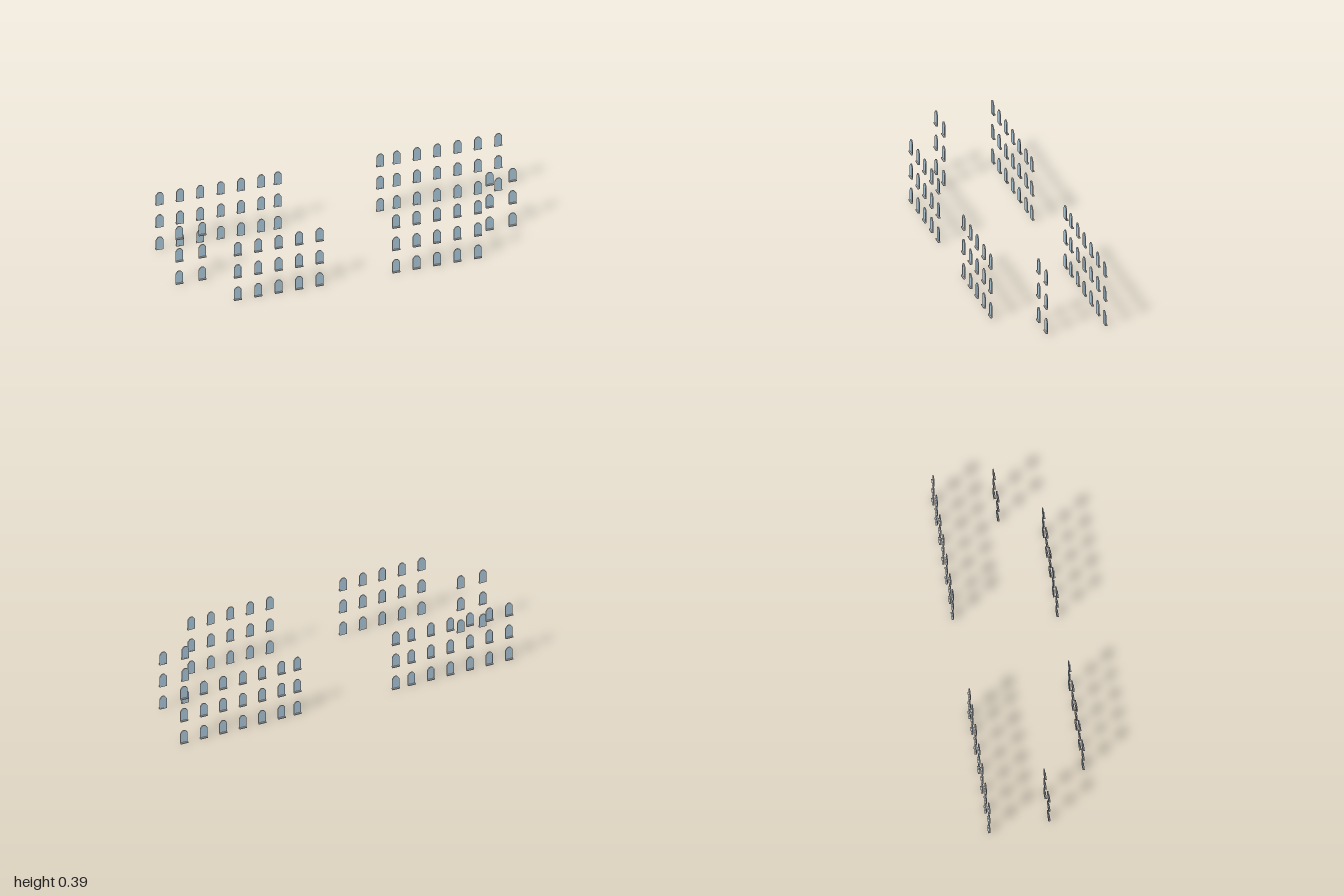
import * as THREE from 'three';

const HALF = 0.0215;   // half width of a window
const SPRING = 0.068;  // height where the arch starts
const TOP = 0.0875;    // height of the arch tip
const DEPTH = 0.006;

// Arched outline, shrunk inwards by t
function archPoints(t) {
  const w = HALF - t, top = TOP - t;
  const rise = top - SPRING;
  return [
    [-w, t], [w, t], [w, SPRING],
    [w * 0.45, SPRING + rise * 0.86], [0, top], [-w * 0.45, SPRING + rise * 0.86],
    [-w, SPRING],
  ].map(([x, y]) => new THREE.Vector2(x, y));
}

function extrude(shape, depth, z) {
  const geometry = new THREE.ExtrudeGeometry(shape, { depth, bevelEnabled: false });
  return geometry.translate(0, 0, z);
}

export function createModel() {
  const model = new THREE.Group();
  model.name = 'archedWindows';

  const stone = new THREE.MeshStandardMaterial({ color: 0xcccccc, flatShading: true });
  const blue = new THREE.MeshStandardMaterial({ color: 0xa9c4d6, flatShading: true });

  const rim = new THREE.Shape(archPoints(0));
  rim.holes.push(new THREE.Path(archPoints(0.002)));
  const frameGeometry = extrude(rim, DEPTH, 0);
  const glassGeometry = extrude(new THREE.Shape(archPoints(0.002)), DEPTH - 0.001, 0.0005);
  const sillGeometry = new THREE.BoxGeometry(0.0445, 0.007, 0.0125).translate(0, 0.0035, 0.00645);

  // One window, facing +z with its back on z = 0
  function makeWindow() {
    const group = new THREE.Group();
    group.name = 'window';
    const parts = { frame: [frameGeometry, stone], glass: [glassGeometry, blue], sill: [sillGeometry, stone] };
    for (const [name, [geometry, material]] of Object.entries(parts)) {
      const mesh = new THREE.Mesh(geometry, material);
      mesh.name = name;
      group.add(mesh);
    }
    return group;
  }

  // Rows of windows; the back row looks backwards
  const rows = [
    { name: 'frontRow', z: 0.282, turn: 0, xs: [0.221, 0.339, 0.457, 0.575, 0.693] },
    { name: 'middleRow', z: 0.047, turn: 0, xs: [0.829, 0.962] },
    { name: 'backRow', z: -0.281, turn: Math.PI, xs: [0.296, 0.391, 0.508, 0.625, 0.743, 0.86, 0.978] },
  ];
  for (const { name, z, turn, xs } of rows) {
    const row = new THREE.Group();
    row.name = name;
    for (const y of [0, 0.1535, 0.307]) {
      for (const x of xs) {
        for (const side of [-1, 1]) {
          const pane = makeWindow();
          pane.position.set(side * x, y, z);
          pane.rotation.y = turn;
          row.add(pane);
        }
      }
    }
    model.add(row);
  }
  return model;
}
